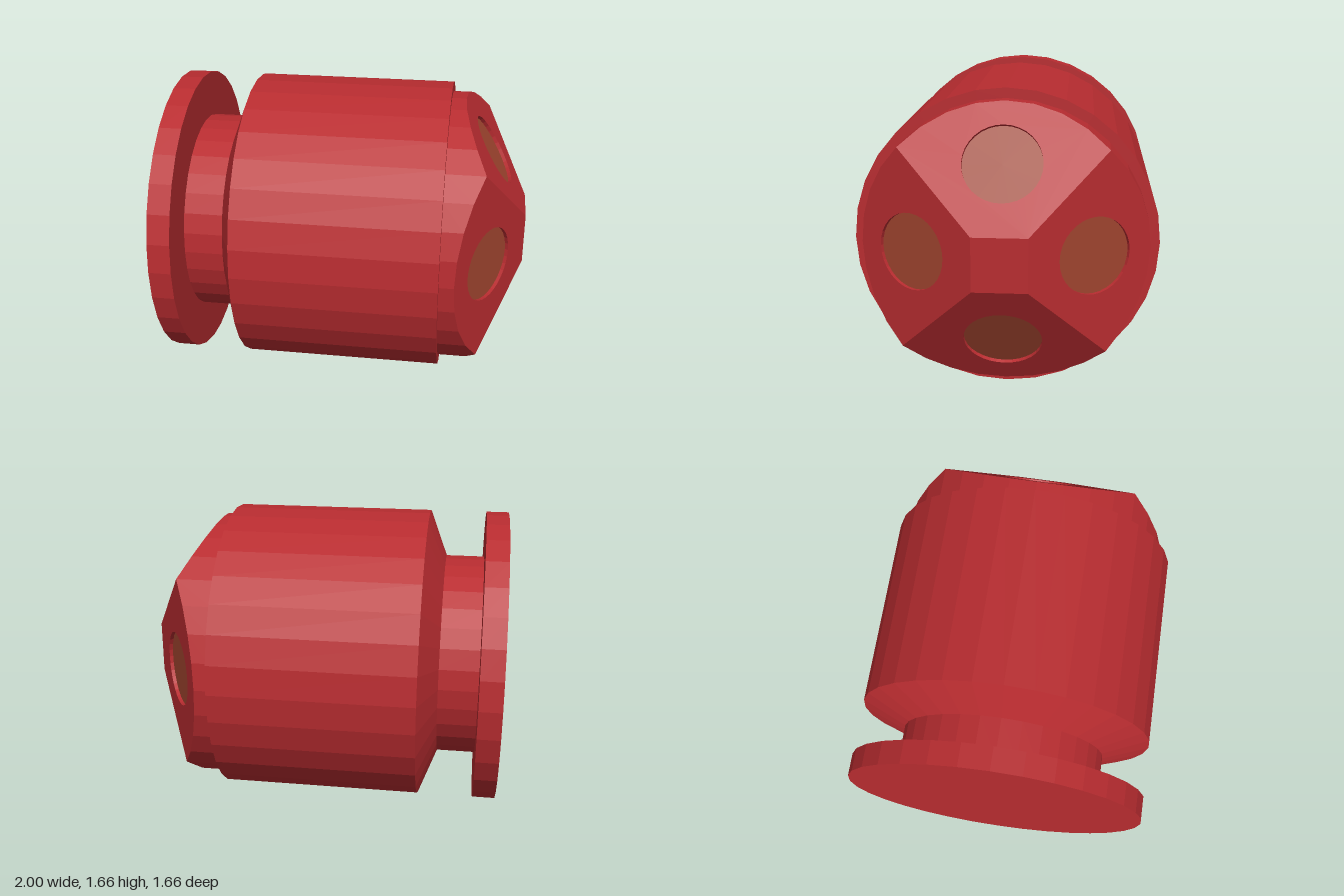
import * as THREE from 'three';

const SIDES = 32;
const CENTRE_Y = 0.83;
const HEAD_R = 0.775, TIP = 0.145;      // head radius, half width of the square tip
const HEAD_X = 0.63, HEAD_BASE = 0.55;  // where the slanted faces and the head begin
const RUN = 1 - HEAD_X, RISE = HEAD_R - TIP, SLANT = Math.hypot(RUN, RISE);
const HOLE_R = 0.21, HOLE_AT = 0.48, DEPTH = 0.02;

const red = new THREE.MeshStandardMaterial({ color: 0xb82c30, flatShading: true });
const redInside = new THREE.MeshStandardMaterial({ color: 0xb82c30, flatShading: true, side: THREE.BackSide });
const brown = new THREE.MeshStandardMaterial({ color: 0xa0452f, flatShading: true });

// x position of a slanted face at a given distance from the axis
const slantX = (r) => 1 + (TIP - r) * RUN / RISE;

function part(name, geometry, material, parent) {
  const mesh = new THREE.Mesh(geometry, material);
  mesh.name = name;
  parent.add(mesh);
  return mesh;
}

// One slanted face with a shallow round recess
function slantedFace() {
  const face = new THREE.Group();
  face.name = 'slantedFace';
  const k = SLANT / RISE;
  const outline = [new THREE.Vector2(-TIP, TIP * k), new THREE.Vector2(TIP, TIP * k)];
  for (let i = SIDES / 8; i >= -SIDES / 8; i--) {
    const a = i / SIDES * Math.PI * 2;
    outline.push(new THREE.Vector2(HEAD_R * Math.sin(a), HEAD_R * Math.cos(a) * k));
  }
  const shape = new THREE.Shape(outline);
  const hole = new THREE.Path();
  hole.absarc(0, HOLE_AT * k, HOLE_R, 0, Math.PI * 2, true);
  shape.holes.push(hole);
  part('facePlate', new THREE.ShapeGeometry(shape, 16), red, face);

  const rim = new THREE.CylinderGeometry(HOLE_R, HOLE_R, DEPTH, SIDES, 1, true).rotateX(Math.PI / 2);
  part('recessRim', rim, redInside, face).position.set(0, HOLE_AT * k, -DEPTH / 2);
  part('recessFloor', new THREE.CircleGeometry(HOLE_R, SIDES), brown, face).position.set(0, HOLE_AT * k, -DEPTH);

  // Lay the face on the upper slope of the head
  const v = new THREE.Vector3(-RUN, RISE, 0).normalize();
  const n = new THREE.Vector3(RISE, RUN, 0).normalize();
  const u = new THREE.Vector3().crossVectors(v, n);
  face.applyMatrix4(new THREE.Matrix4().makeBasis(u, v, n).setPosition(slantX(0), 0, 0));
  return face;
}

export function createModel() {
  const model = new THREE.Group();
  model.name = 'model';
  const axis = new THREE.Group();
  axis.name = 'turnedPart';
  axis.position.y = CENTRE_Y;
  model.add(axis);

  // Flange, neck, shoulder and barrel turned from one profile
  const profile = [
    [0, -1], [0.83, -1], [0.83, -0.875], [0.573, -0.875], [0.573, -0.66],
    [0.83, -0.56], [0.83, HEAD_BASE], [HEAD_R, HEAD_BASE],
  ].map(([r, x]) => new THREE.Vector2(r, x));
  part('barrel', new THREE.LatheGeometry(profile, SIDES).rotateZ(-Math.PI / 2), red, axis);

  // Head wall, its front edge following the slanted faces
  const wall = new THREE.CylinderGeometry(HEAD_R, HEAD_R, 1, SIDES, 1, true).rotateZ(-Math.PI / 2);
  const p = wall.attributes.position;
  for (let i = 0; i < p.count; i++) {
    const reach = Math.max(Math.abs(p.getY(i)), Math.abs(p.getZ(i)));
    p.setX(i, p.getX(i) > 0 ? slantX(reach) : HEAD_BASE);
  }
  part('headWall', wall, red, axis);

  // Four slanted faces around the square tip
  for (let i = 0; i < 4; i++) {
    const turn = new THREE.Group();
    turn.name = 'headSide';
    turn.rotation.x = i * Math.PI / 2;
    turn.add(slantedFace());
    axis.add(turn);
  }
  const tip = new THREE.PlaneGeometry(TIP * 2, TIP * 2).rotateY(Math.PI / 2);
  part('tip', tip, red, axis).position.x = 1;
  return model;
}
